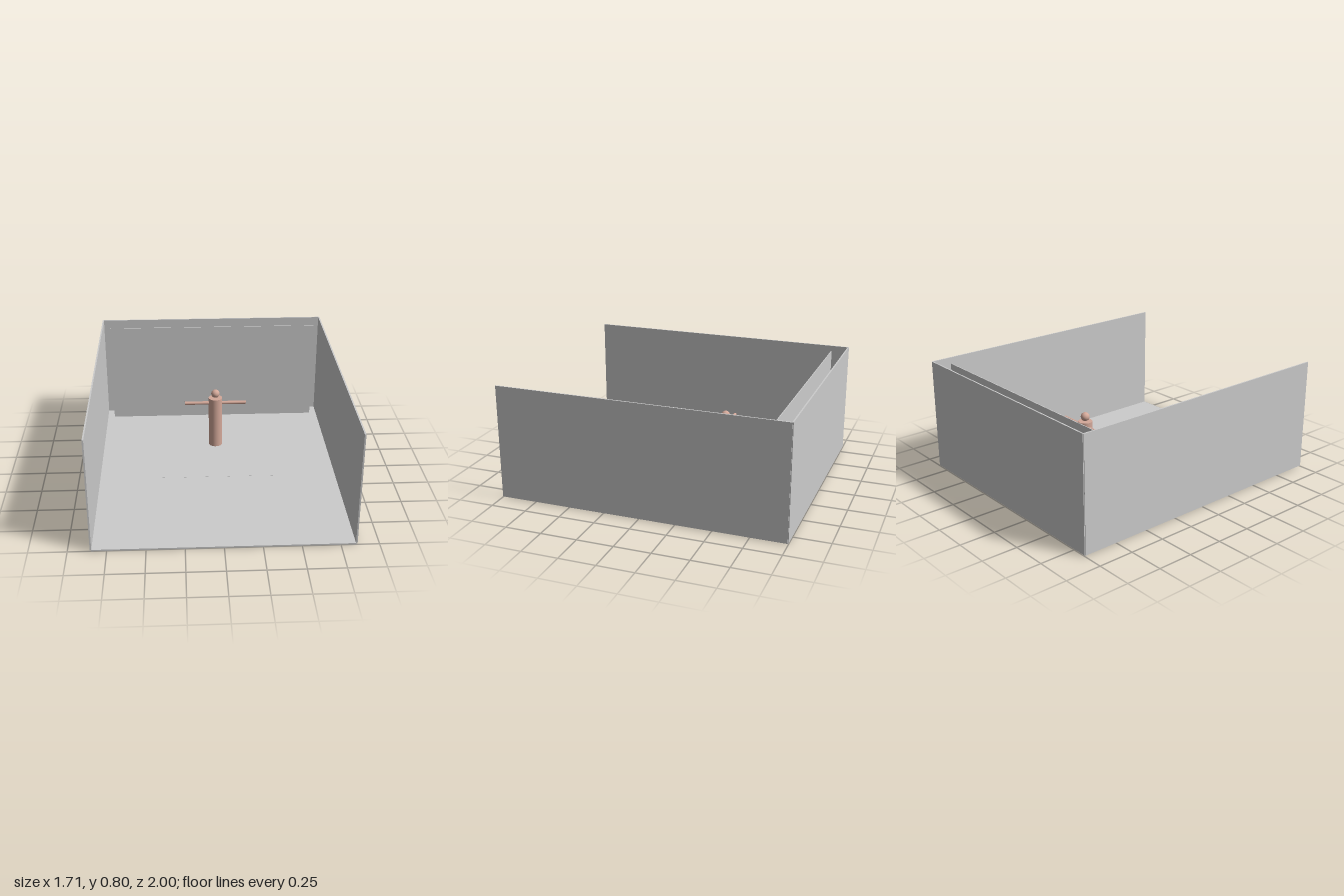
import * as THREE from 'three';

export function createModel() {
  const model = new THREE.Group();
  const grey = new THREE.MeshStandardMaterial({ name: 'plain grey', color: 0xcccccc });
  const skin = new THREE.MeshStandardMaterial({ name: 'skin tone', color: 0xd3a899 });

  const add = (name, geometry, material, x, y, z, parent = model) => {
    const mesh = new THREE.Mesh(geometry, material);
    mesh.name = name;
    mesh.position.set(x, y, z);
    parent.add(mesh);
    return mesh;
  };
  const box = (...size) => new THREE.BoxGeometry(...size);

  // Open-fronted room: floor, two side walls and a back wall
  const room = new THREE.Group();
  room.name = 'room';
  model.add(room);
  add('floor', box(1.7, 0.01, 1.995), grey, 0, 0.005, 0.0025, room);
  for (const [side, name] of [[1, 'leftWall'], [-1, 'rightWall']]) {
    add(name, box(0.01, 0.795, 1.995), grey, side * 0.852, 0.4025, 0.0025, room);
  }
  add('backWall', box(1.704, 0.795, 0.01), grey, 0, 0.4025, -0.995, room);

  // Free-standing panel in front of the back wall, and a thin floor mat
  add('backPanel', box(1.59, 0.77, 0.006), grey, 0, 0.39, -0.88);
  add('floorMat', box(0.86, 0.004, 0.86), grey, 0, 0.0085, -0.31);

  // Simple figure with outstretched arms
  const figure = new THREE.Group();
  figure.name = 'figure';
  figure.position.z = -0.313;
  model.add(figure);
  add('body', new THREE.CylinderGeometry(0.05, 0.05, 0.385, 32), skin, 0, 0.2425, 0, figure);
  add('head', new THREE.SphereGeometry(0.031, 32, 16), skin, 0, 0.468, 0, figure);
  add('arms', new THREE.CylinderGeometry(0.0125, 0.0125, 0.456, 24), skin, 0, 0.393, 0, figure)
    .rotation.z = Math.PI / 2;

  return model;
}
